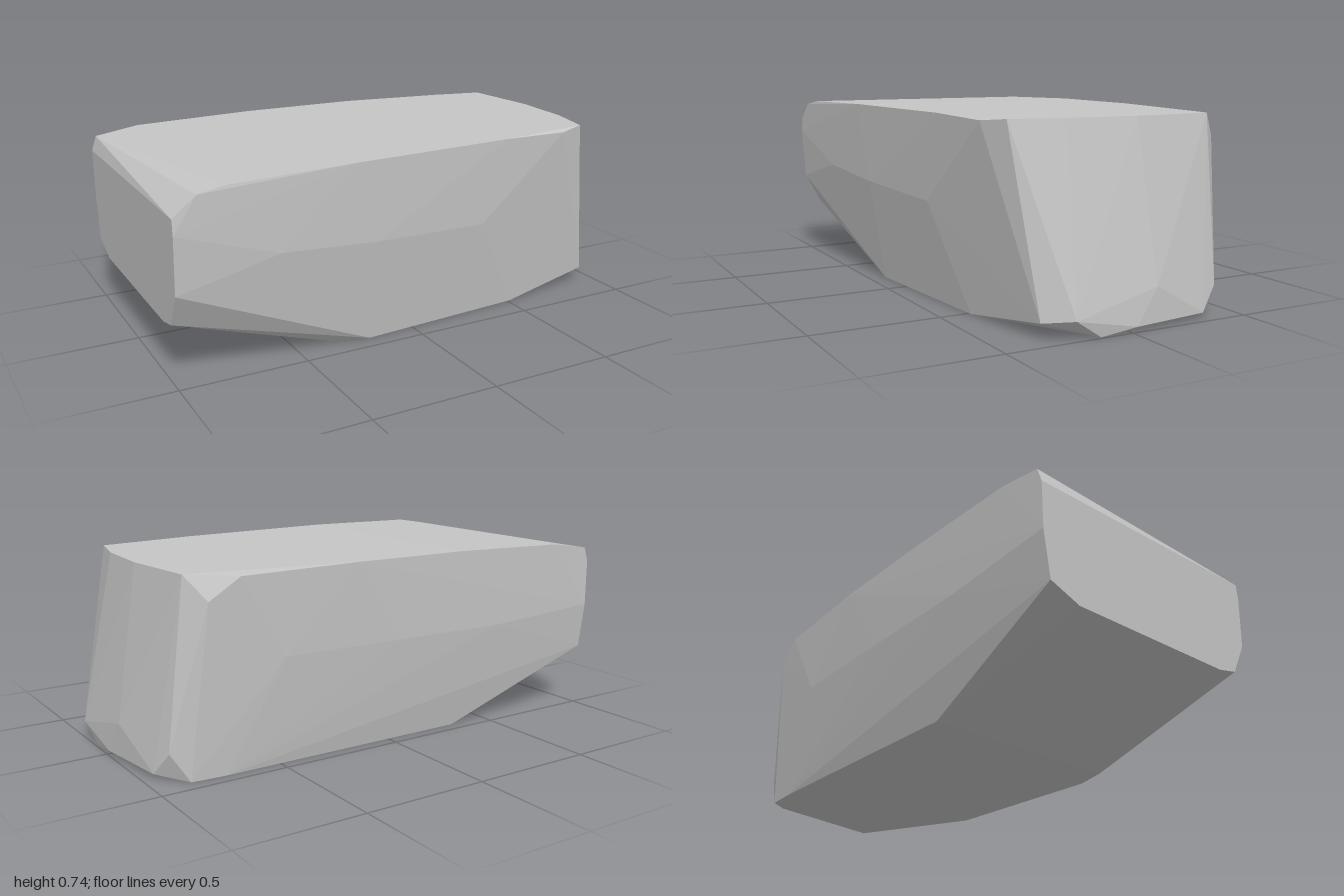
import * as THREE from 'three';
import { ConvexGeometry } from 'three/addons/geometries/ConvexGeometry.js';

// A smooth-worn slab of rock: the convex hull of a few corner rings.
const corners = {
  base: [
    [-0.33, 0, -0.45], [0.72, 0, -0.45], [0.86, 0, -0.44], [0.99, 0, 0.125],
    [0.51, 0, 0.38], [-0.2, 0, 0.43], [-0.33, 0, 0.4],
  ],
  // low chamfer around the blunt end
  toe: [
    [0.93, 0.06, 0.33], [1, 0.07, 0.23], [1, 0.02, -0.02], [0.96, 0.02, -0.34],
    [0.93, 0.11, -0.415], [0.99, 0.15, -0.11],
  ],
  // gently bulging flanks
  flanks: [
    [-0.5, 0.42, -0.527], [0, 0.42, -0.517], [0.5, 0.42, -0.502],
    [-0.6, 0.45, 0.517], [-0.2, 0.42, 0.495], [0.3, 0.4, 0.457],
  ],
  // flat raised end, undercut below
  heel: [
    [-1, 0.21, -0.38], [-1, 0.26, -0.51], [-1, 0.45, -0.535], [-1, 0.64, -0.535],
    [-1, 0.64, 0.53], [-1, 0.58, 0.535], [-1, 0.36, 0.52], [-1, 0.23, 0.45], [-1, 0.21, 0.36],
  ],
  top: [
    [-0.98, 0.7, -0.535], [-0.91, 0.712, 0.53], [-0.8, 0.73, 0.523],
    [-0.8, 0.728, -0.535], [-0.3, 0.74, 0.508], [-0.3, 0.74, -0.53], [0.2, 0.74, -0.525],
    [0.4, 0.74, 0.463], [0.7, 0.73, 0.44], [0.82, 0.74, 0.4], [0.87, 0.74, 0.2],
    [0.89, 0.74, -0.08], [0.86, 0.74, -0.415], [0.8, 0.65, -0.49], [0.68, 0.73, -0.505],
  ],
};

export function createModel() {
  const group = new THREE.Group();
  group.name = 'rock';
  const stone = new THREE.MeshStandardMaterial({ color: 0xc5c5c5 });
  stone.name = 'stone grey';
  const points = Object.values(corners).flat().map((p) => new THREE.Vector3(...p));
  const slab = new THREE.Mesh(new ConvexGeometry(points), stone);
  slab.name = 'rockSlab';
  group.add(slab);
  return group;
}
